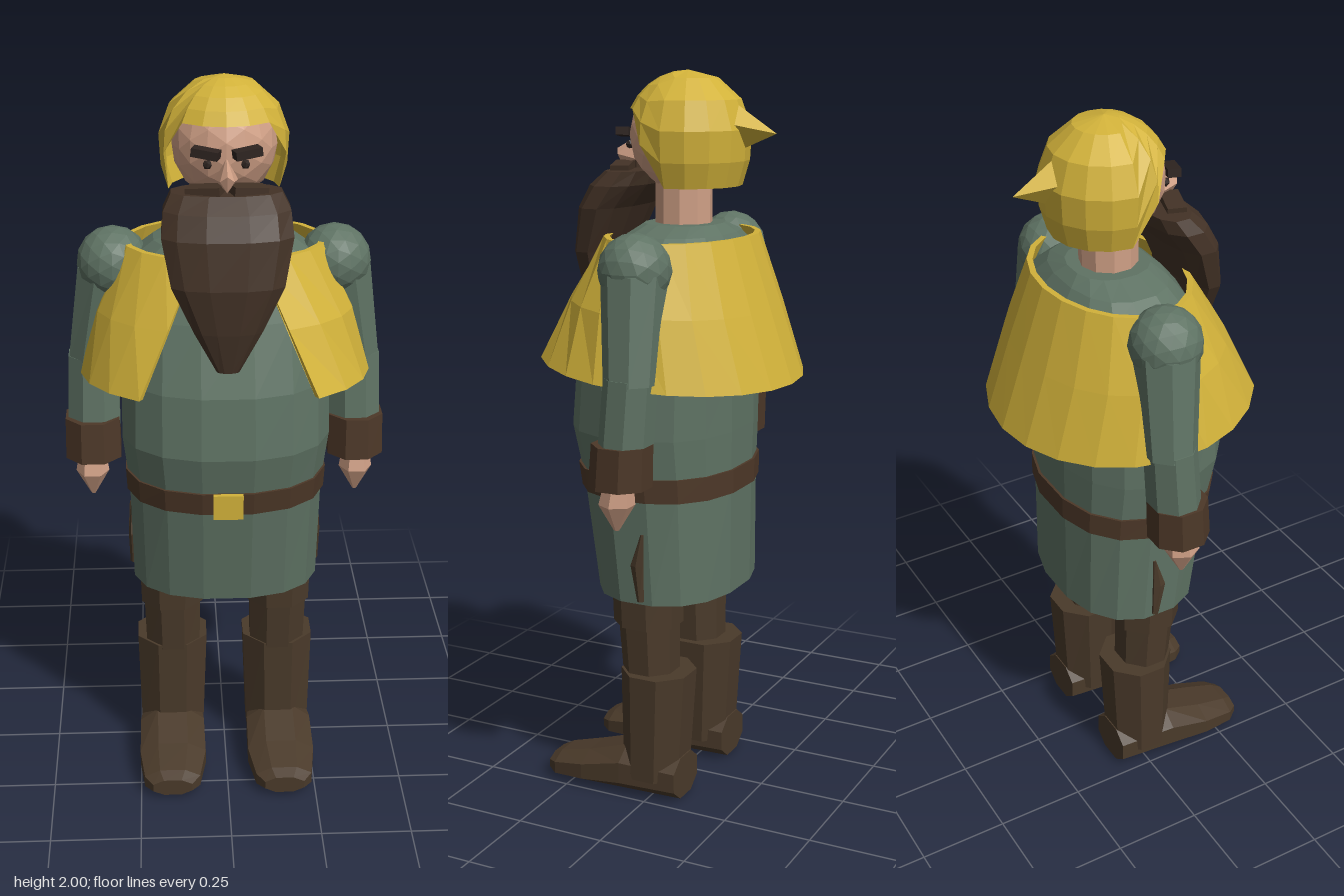
import * as THREE from 'three';
import { ConvexGeometry } from 'three/addons/geometries/ConvexGeometry.js';

const mat = (name, color, side = THREE.FrontSide) => new THREE.MeshStandardMaterial({ name, color, side });

// Faceted mesh: every face keeps its own normal
function part(parent, name, geometry, material) {
  const g = geometry.index ? geometry.toNonIndexed() : geometry;
  g.computeVertexNormals();
  const mesh = new THREE.Mesh(g, material);
  mesh.name = name;
  parent.add(mesh);
  return mesh;
}

// Skin a row of closed loops of points, optionally closing both ends
function skin(loops, capped = true) {
  const n = loops[0].length, pos = loops.flat(2), index = [];
  for (let j = 0; j < loops.length - 1; j++) {
    for (let i = 0; i < n; i++) {
      const a = j * n + i, b = j * n + (i + 1) % n;
      index.push(a, b, b + n, a, b + n, a + n);
    }
  }
  if (capped) {
    const last = (loops.length - 1) * n;
    for (let i = 1; i < n - 1; i++) {
      index.push(0, i + 1, i, last, last + i, last + i + 1);
    }
  }
  const g = new THREE.BufferGeometry();
  g.setAttribute('position', new THREE.Float32BufferAttribute(pos, 3));
  g.setIndex(index);
  return g;
}

// Stack of rounded sections from bottom to top: [y, centre x, half width, z front, z back]
function loft(sections, sides, power = 1) {
  const soft = v => Math.sign(v) * Math.abs(v) ** power;
  return skin(sections.map(([y, cx, rx, zf, zb]) => Array.from({ length: sides }, (_, i) => {
    const a = (i + 0.5) / sides * Math.PI * 2;
    return [cx + rx * soft(Math.sin(a)), y, (zf + zb) / 2 + (zf - zb) / 2 * soft(Math.cos(a))];
  })));
}

// Short cape: a thick shell swept round the back, open at the front
function capeGeometry() {
  const steps = 18, loops = [];
  for (let i = 0; i <= steps; i++) {
    const at = (t, inset) => {
      const start = THREE.MathUtils.lerp(0.3, 0.63, t);
      const a = start + (Math.PI * 2 - 2 * start) * i / steps;
      const bulge = 0.015 * Math.sin(Math.PI * t);
      const rx = 0.27 + 0.12 * t + bulge - inset, rz = 0.195 + 0.16 * t - inset;
      const hem = 1.215 + 0.032 * Math.cos(a);
      return [rx * Math.sin(a), THREE.MathUtils.lerp(1.57, hem, t), 0.03 * t + rz * Math.cos(a)];
    };
    loops.push([at(0, 0), at(0.5, 0), at(1, 0), at(1, 0.016), at(0.5, 0.016), at(0, 0.016)]);
  }
  return skin(loops);
}

// Hood: a dome cut high over the brow and low round the sides and back
function hoodGeometry() {
  const sides = 16, rows = 5, loops = [];
  for (let j = 0; j <= rows; j++) {
    loops.push(Array.from({ length: sides }, (_, i) => {
      const a = i / sides * Math.PI * 2;
      const fold = Math.acos(Math.cos(a)) * 180 / Math.PI;
      const edge = fold < 50 ? 0.07 : Math.max(-0.13, 0.07 - (fold - 50) * 0.005);
      const th = THREE.MathUtils.lerp(Math.asin(edge / 0.17), Math.PI / 2, j / rows);
      const dy = 0.17 * Math.sin(th);
      const r = dy > 0 ? 0.17 * Math.cos(th) : 0.17 * Math.sqrt(1 - (dy / 0.25) ** 2);
      return [r * Math.sin(a), 1.83 + dy, -0.015 + r * Math.cos(a)];
    }));
  }
  return skin(loops, false);
}

export function createModel() {
  const model = new THREE.Group();
  model.name = 'beardedFigure';
  const green = mat('tunicGreen', 0x5f7364);
  const gold = mat('clothGold', 0xd2b23a, THREE.DoubleSide);
  const leather = mat('leatherBrown', 0x4a3a2a);
  const strap = mat('strapBrown', 0x4d3828);
  const hair = mat('hairBrown', 0x433226);
  const dark = mat('browDark', 0x2e2420);
  const skinTone = mat('skin', 0xd0a086);

  // Tunic, belt and buckle
  part(model, 'tunic', loft([
    [0.59, 0, 0.262, 0.21, -0.18],
    [0.9, 0, 0.268, 0.255, -0.182],
    [1.05, 0, 0.285, 0.287, -0.185],
    [1.22, 0, 0.282, 0.272, -0.185],
    [1.4, 0, 0.272, 0.215, -0.183],
    [1.53, 0, 0.25, 0.165, -0.175],
    [1.575, 0, 0.19, 0.13, -0.14],
    [1.6, 0, 0.11, 0.1, -0.11],
  ], 16, 0.85), green);
  part(model, 'belt', loft([
    [0.88, 0, 0.275, 0.262, -0.19],
    [0.945, 0, 0.278, 0.272, -0.19],
  ], 16, 0.85), strap);
  part(model, 'buckle', new THREE.BoxGeometry(0.08, 0.07, 0.014), gold).position.set(0, 0.913, 0.277);

  // Cape
  part(model, 'cape', capeGeometry(), gold);

  // Neck, head and nose
  part(model, 'neck', new THREE.CylinderGeometry(0.078, 0.078, 0.16, 10), skinTone).position.set(0, 1.65, -0.002);
  part(model, 'head', new THREE.IcosahedronGeometry(1, 2).scale(0.138, 0.148, 0.146), skinTone).position.set(0, 1.83, 0);
  part(model, 'nose', new ConvexGeometry([
    [0, 1.825, 0.135], [0.03, 1.765, 0.13], [-0.03, 1.765, 0.13],
    [0.018, 1.775, 0.19], [-0.018, 1.775, 0.19], [0, 1.79, 0.2], [0, 1.745, 0.185],
  ].map(p => new THREE.Vector3(...p))), skinTone);

  // Hood with its swept point
  part(model, 'hood', hoodGeometry(), gold);
  part(model, 'hoodPoint', new ConvexGeometry([
    [0, 1.95, -0.1], [0.052, 1.865, -0.155], [-0.052, 1.865, -0.155], [0, 1.79, -0.155], [0, 1.84, -0.27],
  ].map(p => new THREE.Vector3(...p))), gold);

  // Beard
  part(model, 'beard', loft([
    [1.29, 0, 0.03, 0.262, 0.225],
    [1.4, 0, 0.09, 0.28, 0.205],
    [1.52, 0, 0.148, 0.288, 0.18],
    [1.64, 0, 0.172, 0.268, 0.125],
    [1.7, 0, 0.166, 0.238, 0.08],
    [1.738, 0, 0.145, 0.195, 0.07],
  ], 12, 0.85), hair);

  for (const s of [1, -1]) {
    const side = new THREE.Group();
    side.name = s > 0 ? 'leftSide' : 'rightSide';
    model.add(side);

    // Moustache, eyebrow and eye
    const moustache = part(side, 'moustache', new THREE.BoxGeometry(0.09, 0.028, 0.05), hair);
    moustache.position.set(s * 0.055, 1.742, 0.155);
    moustache.rotation.set(0, s * 0.3, s * -0.1);
    const brow = part(side, 'eyebrow', new THREE.BoxGeometry(0.07, 0.022, 0.035), dark);
    brow.position.set(s * 0.052, 1.838, 0.15);
    brow.rotation.set(0, s * 0.3, s * 0.12);
    part(side, 'eye', new THREE.IcosahedronGeometry(0.013, 0), dark).position.set(s * 0.048, 1.805, 0.135);

    // Arm: shoulder, sleeves, cuff and hand
    part(side, 'shoulder', new THREE.IcosahedronGeometry(0.097, 2), green).position.set(s * 0.295, 1.505, -0.008);
    part(side, 'upperArm', loft([
      [1.225, s * 0.358, 0.07, 0.045, -0.1],
      [1.5, s * 0.305, 0.09, 0.075, -0.1],
    ], 8), green);
    part(side, 'forearm', loft([
      [1.0, s * 0.36, 0.077, 0.065, -0.08],
      [1.24, s * 0.355, 0.074, 0.045, -0.095],
    ], 8), green);
    part(side, 'cuff', loft([
      [0.95, s * 0.363, 0.082, 0.088, -0.082],
      [1.065, s * 0.363, 0.08, 0.078, -0.085],
    ], 8), strap);
    part(side, 'hand', loft([
      [0.83, s * 0.368, 0.006, 0.02, 0.005],
      [0.9, s * 0.368, 0.046, 0.06, -0.038],
      [0.96, s * 0.368, 0.036, 0.045, -0.035],
    ], 6), skinTone);

    // Leg: trousers, boot and foot
    part(side, 'trouserLeg', loft([
      [0.32, s * 0.15, 0.082, 0.1, -0.055],
      [0.51, s * 0.152, 0.086, 0.115, -0.055],
    ], 8), leather);
    part(side, 'thigh', loft([
      [0.505, s * 0.152, 0.094, 0.13, -0.065],
      [0.65, s * 0.152, 0.098, 0.135, -0.065],
    ], 8), leather);
    part(side, 'trouserSeam', loft([
      [0.6, s * 0.258, 0.012, 0.01, -0.01],
      [0.7, s * 0.259, 0.014, 0.03, -0.012],
      [0.79, s * 0.259, 0.009, -0.002, -0.012],
    ], 6), leather);
    part(side, 'bootShaft', loft([
      [0.06, s * 0.155, 0.098, 0.1, -0.085],
      [0.37, s * 0.153, 0.108, 0.105, -0.105],
    ], 8), leather);
    part(side, 'foot', loft([
      [-0.085, s * 0.157, 0.08, 0, -0.13],
      [0.08, s * 0.157, 0.1, 0, -0.145],
      [0.2, s * 0.157, 0.102, 0, -0.105],
      [0.295, s * 0.16, 0.085, 0, -0.08],
      [0.325, s * 0.16, 0.06, -0.012, -0.065],
    ], 8, 0.9).rotateX(Math.PI / 2), leather);
  }
  return model;
}
